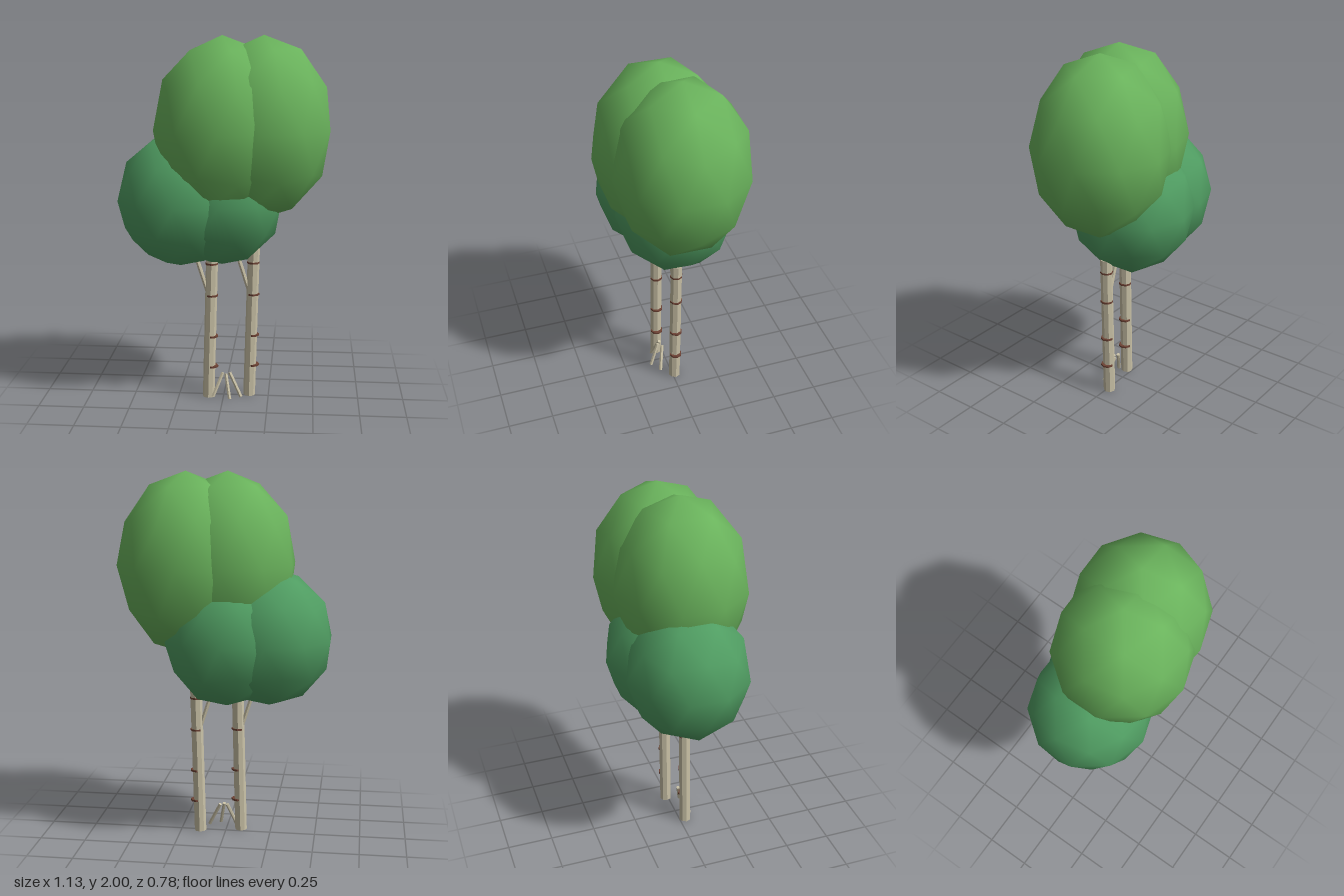
import * as THREE from 'three';

const mat = (color, flatShading = false) => new THREE.MeshStandardMaterial({ color, flatShading });

// Icosphere with its poles on y: two staggered rings of five plus the poles
function icosphere() {
  const verts = [0, 1, 0];
  const y = 1 / Math.sqrt(5), r = 2 * y;
  for (const side of [1, -1]) {
    for (let i = 0; i < 5; i++) {
      const a = (i + (side < 0 ? 0.5 : 0)) * Math.PI * 0.4;
      verts.push(r * Math.cos(a), side * y, r * Math.sin(a));
    }
  }
  verts.push(0, -1, 0);
  const faces = [];
  for (let i = 0; i < 5; i++) {
    const j = (i + 1) % 5;
    const u = 1 + i, u2 = 1 + j, l = 6 + i, l2 = 6 + j;
    faces.push(0, u2, u, u, u2, l, u2, l2, l, 11, l, l2);
  }
  return new THREE.PolyhedronGeometry(verts, faces, 1, 1);
}

// Straight faceted cylinder between two points
function limb(name, from, to, radius, sides, material) {
  const a = new THREE.Vector3(...from), b = new THREE.Vector3(...to);
  const dir = b.clone().sub(a);
  const geo = new THREE.CylinderGeometry(radius, radius, dir.length(), sides);
  const mesh = new THREE.Mesh(geo, material);
  mesh.name = name;
  mesh.position.copy(a).add(b).multiplyScalar(0.5);
  mesh.quaternion.setFromUnitVectors(new THREE.Vector3(0, 1, 0), dir.normalize());
  return mesh;
}

export function createModel() {
  const tree = new THREE.Group();
  tree.name = 'twinTree';
  const bark = mat(0xc9c1a6, true);
  const band = mat(0x6e4335, true);
  const lightLeaf = mat(0x6ab35c);
  const darkLeaf = mat(0x509d62);

  // Foliage: two tall light crowns above two rounder dark ones
  const ball = icosphere();
  const tall = [0.373, 0.49, 0.3625], round = [0.344, 0.375, 0.333];
  const crowns = [
    ['upperCrownRight', [-0.007, 1.51, 0.0275], tall, lightLeaf],
    ['upperCrownLeft', [0.21, 1.51, -0.02], tall, lightLeaf],
    ['lowerCrownRight', [-0.24, 1.12, -0.0125], round, darkLeaf],
    ['lowerCrownLeft', [-0.015, 1.12, -0.057], round, darkLeaf],
  ];
  for (const [name, pos, size, material] of crowns) {
    const crown = new THREE.Mesh(ball, material);
    crown.name = name;
    crown.position.set(...pos);
    crown.scale.set(...size);
    tree.add(crown);
  }

  // Two leaning trunks, each with a side branch and four bark bands
  for (const [side, x, z] of [['right', -0.083, 0.032], ['left', 0.142, -0.012]]) {
    const trunk = new THREE.Group();
    trunk.name = side + 'Trunk';
    trunk.add(limb('trunk', [x, 0.001, z], [x + 0.022, 0.85, z], 0.033, 8, bark));
    trunk.add(limb('branch', [x + 0.005, 0.58, z], [x - 0.084, 0.86, z], 0.012, 6, bark));
    for (const y of [0.18, 0.355, 0.59, 0.77]) {
      trunk.add(limb('barkBand', [x + 0.019, y - 0.005, z], [x + 0.019, y + 0.005, z], 0.035, 8, band));
    }
    tree.add(trunk);
  }

  // Loose twigs leaning together between the trunks
  const twigs = [
    [[-0.055, 0.012, 0.07], [-0.003, 0.142, 0.035]],
    [[0.04, 0.012, 0.1], [0.015, 0.142, 0.05]],
    [[0.1, 0.012, 0.06], [0.035, 0.142, 0.03]],
  ];
  for (const [foot, tip] of twigs) tree.add(limb('twig', foot, tip, 0.01, 6, bark));

  return tree;
}
